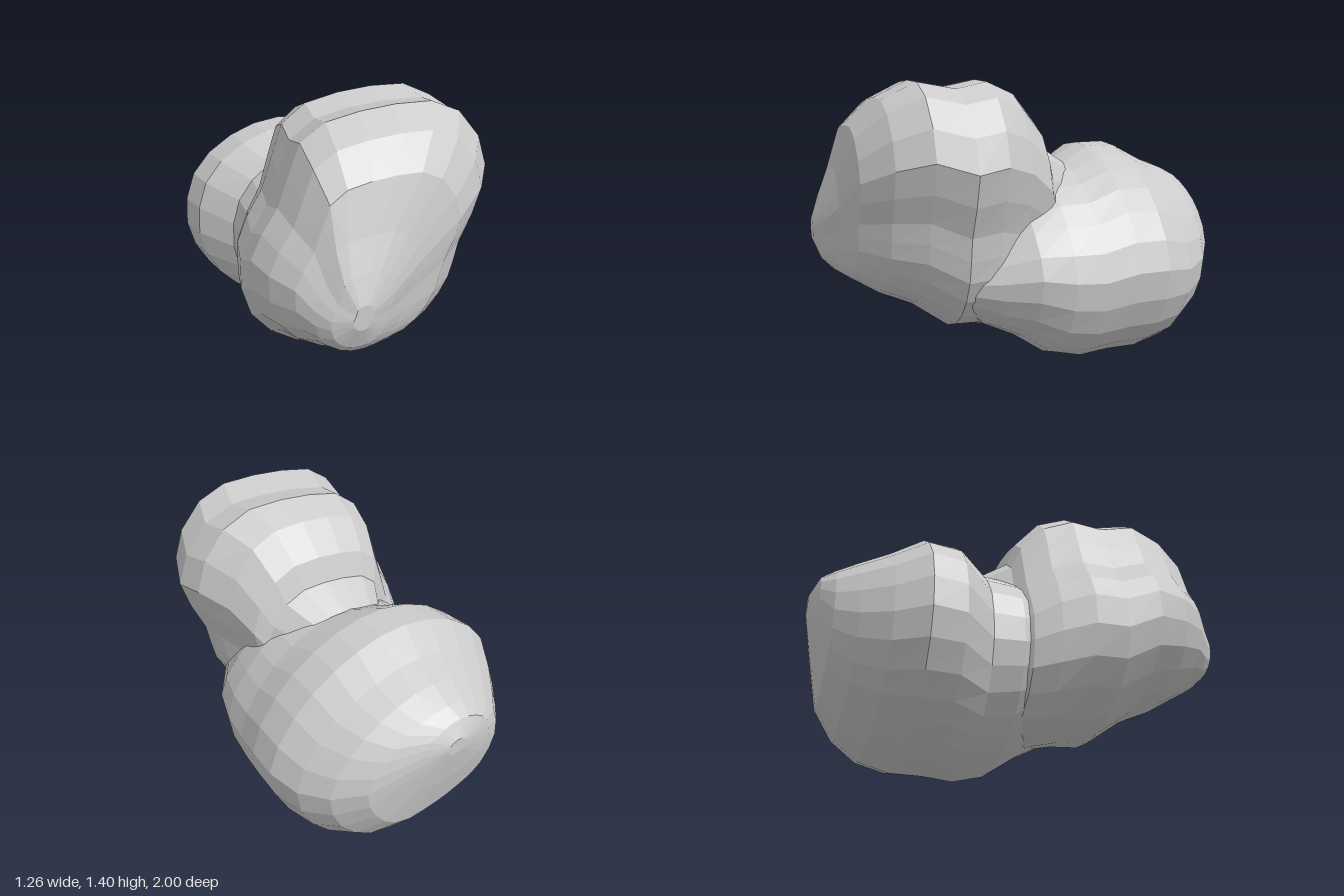
import * as THREE from 'three';

const SEGS = 26; // facets around each section

// Closed outline from radii at equal angles (starting at +x), scaled to a unit box.
function unitOutline(radii) {
  const corners = radii.map((r, i) => {
    const a = (i / radii.length) * Math.PI * 2;
    return new THREE.Vector3(r * Math.cos(a), r * Math.sin(a), 0);
  });
  const curve = new THREE.CatmullRomCurve3(corners, true);
  const points = Array.from({ length: SEGS }, (_, j) => curve.getPoint(j / SEGS));
  const box = new THREE.Box3().setFromPoints(points);
  const size = box.getSize(new THREE.Vector3());
  return points.map((p) => [(p.x - box.min.x) / size.x, (p.y - box.min.y) / size.y]);
}

// Skins stations [z, xMin, xMax, yMin, yMax], front to back, with an outline that
// changes from the front radii to the back radii; flat fans close both ends.
function loftLobe(front, back, stations) {
  const pos = [], index = [];
  const zFront = stations[0][0], zBack = stations[stations.length - 1][0];
  for (const [z, x0, x1, y0, y1] of stations) {
    const t = (zFront - z) / (zFront - zBack);
    const outline = unitOutline(front.map((r, i) => r + (back[i] - r) * t));
    for (const [u, v] of outline) pos.push(x0 + u * (x1 - x0), y0 + v * (y1 - y0), z);
  }
  const last = (stations.length - 1) * SEGS;
  for (let j = 0; j < SEGS; j++) {
    const k = (j + 1) % SEGS;
    for (let a = 0; a < last; a += SEGS) {
      index.push(a + j, a + SEGS + j, a + SEGS + k, a + j, a + SEGS + k, a + k);
    }
    if (j > 0 && k > 0) index.push(0, j, k, last, last + k, last + j);
  }
  const geo = new THREE.BufferGeometry();
  geo.setAttribute('position', new THREE.Float32BufferAttribute(pos, 3));
  geo.setIndex(index);
  geo.computeVertexNormals();
  return geo;
}

export function createModel() {
  const group = new THREE.Group();
  group.name = 'twoLobedRock';
  const rock = new THREE.MeshStandardMaterial({ color: 0xcccccc, flatShading: true });
  const add = (name, front, back, stations) => {
    const mesh = new THREE.Mesh(loftLobe(front, back, stations), rock);
    mesh.name = name;
    group.add(mesh);
  };

  // Upright front lobe: high bulge on its left, low nose on its right
  add('frontLobe',
    [0.45, 0.66, 0.74, 0.67, 0.67, 0.53, 0.6, 0.62, 0.56, 0.5, 0.47, 0.44],
    [0.47, 0.65, 0.71, 0.65, 0.65, 0.52, 0.59, 0.64, 0.62, 0.59, 0.56, 0.51], [
      [1.0, -0.31, -0.22, 0.61, 0.72],
      [0.96, -0.39, -0.1, 0.51, 0.84],
      [0.91, -0.44, 0.03, 0.46, 0.98],
      [0.85, -0.5, 0.25, 0.43, 1.19],
      [0.73, -0.57, 0.42, 0.36, 1.32],
      [0.58, -0.6, 0.53, 0.3, 1.4],
      [0.41, -0.6, 0.59, 0.18, 1.37],
      [0.26, -0.57, 0.56, 0.17, 1.4],
      [0.11, -0.52, 0.47, 0.13, 1.34],
      [-0.01, -0.47, 0.41, 0.13, 1.2],
      [-0.05, -0.42, 0.36, 0.16, 1.08],
      [-0.2, -0.3, 0.25, 0.3, 0.99],
    ]);

  // Broad rear lobe with a side ridge, reaching forward into the front lobe
  add('rearLobe',
    [0.6, 0.54, 0.52, 0.5, 0.5, 0.5, 0.47, 0.46, 0.48, 0.5, 0.52, 0.58],
    [0.63, 0.56, 0.52, 0.55, 0.59, 0.64, 0.63, 0.57, 0.48, 0.48, 0.58, 0.61], [
      [0.4, -0.1, 0.38, 0.3, 0.65],
      [0.25, -0.3, 0.47, 0.2, 0.78],
      [0.1, -0.42, 0.56, 0.13, 0.9],
      [-0.05, -0.46, 0.6, 0.03, 0.97],
      [-0.2, -0.46, 0.61, 0, 0.99],
      [-0.36, -0.6, 0.63, 0.01, 1.06],
      [-0.52, -0.63, 0.63, 0.01, 1.06],
      [-0.67, -0.55, 0.58, 0.05, 0.98],
      [-0.8, -0.45, 0.49, 0.14, 0.93],
      [-0.9, -0.36, 0.36, 0.27, 0.88],
      [-0.96, -0.25, 0.16, 0.5, 0.84],
      [-1.0, -0.08, 0.02, 0.69, 0.77],
    ]);
  return group;
}
